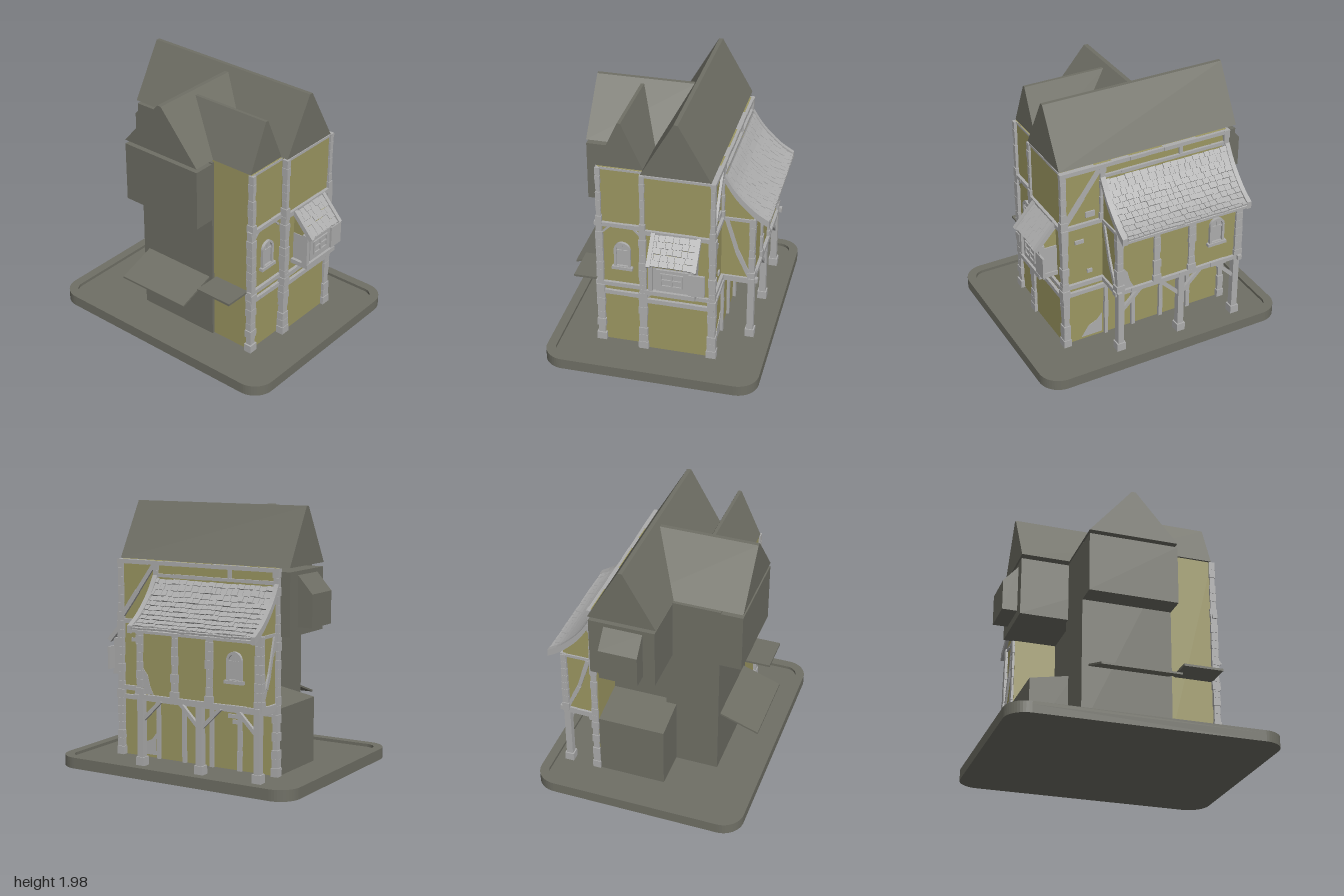
import * as THREE from 'three';
import { mergeGeometries } from 'three/addons/utils/BufferGeometryUtils.js';

export function createModel() {
  const model = new THREE.Group();
  model.name = 'timberHouse';
  const mat = (name, color) => {
    const m = new THREE.MeshStandardMaterial({ color });
    m.name = name;
    return m;
  };
  const slate = mat('slate', 0x6f6f65), plaster = mat('plaster', 0x9c9762), timber = mat('paleTimber', 0xadadad);

  let seed = 7;
  const rnd = (a, b) => {
    seed = (seed * 16807) % 2147483647;
    return a + (b - a) * (seed / 2147483647);
  };
  const V = (x, y, z) => new THREE.Vector3(x, y, z);
  const add = (name, material, ...geos) => {
    const flat = geos.flat().map(g => (g.index ? g.toNonIndexed() : g));
    const mesh = new THREE.Mesh(mergeGeometries(flat), material);
    mesh.name = name;
    model.add(mesh);
    return mesh;
  };
  const box = (x0, x1, y0, y1, z0, z1) =>
    new THREE.BoxGeometry(x1 - x0, y1 - y0, z1 - z0).translate((x0 + x1) / 2, (y0 + y1) / 2, (z0 + z1) / 2);
  const poly = pts => new THREE.Shape(pts.map(p => new THREE.Vector2(...p)));
  // Prism with an (x, y) profile running along z
  const prismZ = (pts, z0, z1) =>
    new THREE.ExtrudeGeometry(poly(pts), { depth: z1 - z0, bevelEnabled: false }).translate(0, 0, z0);
  // Prism with a (z, y) profile running along x
  const prismX = (pts, x0, x1) =>
    new THREE.ExtrudeGeometry(poly(pts.map(([z, y]) => [-z, y])), { depth: x1 - x0, bevelEnabled: false })
      .rotateY(Math.PI / 2).translate(x0, 0, 0);

  // One straight bar between two points
  const bar = (a, b, w, h) => {
    const o = new THREE.Object3D();
    o.position.copy(a).add(b).multiplyScalar(0.5);
    o.lookAt(b);
    o.updateMatrix();
    return new THREE.BoxGeometry(w, h, a.distanceTo(b)).applyMatrix4(o.matrix);
  };
  // Rough-hewn timber: a bar broken into uneven lengths
  const beam = (a, b, w = 0.035, h = 0.035) => {
    const n = Math.max(1, Math.round(a.distanceTo(b) / 0.14)), out = [];
    for (let i = 0; i < n; i++) {
      const p = a.clone().lerp(b, i / n), q = a.clone().lerp(b, (i + 1) / n);
      out.push(bar(p, q, w * rnd(0.88, 1.1), h * rnd(0.88, 1.1)));
    }
    return out;
  };
  // Corner post stacked from uneven blocks
  const post = (x, z, y0, y1, w = 0.05, d = 0.05) => {
    const out = [], n = Math.max(2, Math.round((y1 - y0) / 0.065));
    for (let i = 0; i < n; i++) {
      const h = (y1 - y0) / n, k = i ? rnd(0.85, 1.15) : 1.25;
      out.push(box(x - w * k / 2, x + w * k / 2, y0 + i * h, y0 + (i + 1) * h - 0.002, z - d * k / 2, z + d * k / 2));
    }
    return out;
  };

  // Base plate with a raised rim
  const rounded = (w, d, r, path = new THREE.Shape()) => {
    path.absarc(w - r, d - r, r, 0, Math.PI / 2);
    path.absarc(-w + r, d - r, r, Math.PI / 2, Math.PI);
    path.absarc(-w + r, -d + r, r, Math.PI, Math.PI * 1.5);
    path.absarc(w - r, -d + r, r, Math.PI * 1.5, Math.PI * 2);
    return path;
  };
  const plate = (shape, y0, y1) =>
    new THREE.ExtrudeGeometry(shape, { depth: y1 - y0, bevelEnabled: false, curveSegments: 6 })
      .rotateX(-Math.PI / 2).translate(0, y0, 0);
  const rim = rounded(0.81, 1, 0.16);
  rim.holes.push(rounded(0.74, 0.93, 0.09, new THREE.Path()));
  add('base', slate, plate(rounded(0.81, 1, 0.16), 0, 0.06), plate(rim, 0.06, 0.083));

  // Plain rear masses
  add('rearBody', slate, box(-0.10, 0.38, 0.06, 1.54, -0.36, 0.3), box(-0.46, -0.05, 0.06, 1.54, -0.4, 0.28));
  add('rearUpperStorey', slate, box(-0.10, 0.395, 1.07, 1.53, -0.77, 0.2));
  add('sideUpperStorey', slate, box(-0.625, -0.1, 1.07, 1.53, -0.4, 0.28));
  add('rearAnnex', slate, prismX([[-0.69, 0.06], [-0.69, 0.55], [-0.36, 0.61], [-0.36, 0.06]], -0.13, 0.38));
  add('rearBay', slate, prismX([[-0.885, 1.13], [-0.885, 1.37], [-0.77, 1.5], [-0.77, 1.13]], -0.01, 0.28));

  // Plastered walls
  add('mainWalls', plaster, box(-0.10, 0.41, 0.06, 1.555, 0.28, 0.67), box(0.38, 0.41, 0.06, 1.555, -0.68, 0.3));
  add('frontWingWalls', plaster, box(-0.44, -0.05, 0.06, 1.555, 0.27, 0.625));
  const roofLine = [[0.43, 1.42], [0.5, 1.31], [0.58, 1.22], [0.67, 1.14], [0.76, 1.085]];
  add('sideRoomWalls', plaster, prismZ([[0.4, 0.58], [0.645, 0.58], [0.645, 1.13], [0.56, 1.22], [0.49, 1.3], [0.42, 1.39], [0.4, 1.39]], -0.675, 0.35));

  // Main roofs with narrow flat ridges
  const gable = (c, half, top, k = 0.015) => [[c - half, 1.56], [c + half, 1.56], [c + k, top], [c - k, top]];
  add('mainRoof', slate, prismZ(gable(0.145, 0.255, 1.98), -0.77, 0.68));
  add('frontWingRoof', slate, prismZ(gable(-0.275, 0.172, 1.91, 0.012), -0.03, 0.62));
  add('sideWingRoof', slate, prismX(gable(-0.06, 0.34, 1.94, 0.016), -0.625, 0.115));

  // Awnings on the left
  add('slopedAwning', slate, prismZ([[-0.755, 0.445], [-0.45, 0.555], [-0.45, 0.57], [-0.755, 0.46]], -0.35, 0.25));
  add('flatAwning', slate, box(-0.655, -0.43, 0.563, 0.58, 0.3, 0.6));

  // Front framing
  add('frontPosts', timber, [[-0.435, 0.625], [-0.1, 0.665], [0.415, 0.665]].map(([x, z]) => [
    ...post(x, z, 0.06, 0.5, 0.06, 0.05), ...post(x, z, 0.5, 1.09, 0.05, 0.05), ...post(x, z, 1.09, 1.555, 0.035, 0.045)]).flat());
  add('frontBeams', timber, [0.5, 0.575, 1.09].map(y => [
    ...beam(V(-0.47, y, 0.63), V(-0.1, y, 0.63)), ...beam(V(-0.12, y, 0.675), V(0.43, y, 0.675))]).flat(),
    beam(V(-0.45, 1.545, 0.62), V(-0.1, 1.545, 0.62), 0.02, 0.02), beam(V(-0.1, 1.545, 0.67), V(0.42, 1.545, 0.67), 0.02, 0.02));
  add('frontBraces', plaster, prismZ([[-0.41, 1.075], [-0.41, 1.0], [-0.34, 1.075]], 0.625, 0.63));
  add('frontCornerBraces', timber, bar(V(-0.41, 1.02, 0.625), V(-0.35, 1.08, 0.625), 0.02, 0.015),
    bar(V(-0.13, 1.02, 0.625), V(-0.19, 1.08, 0.625), 0.02, 0.015));

  // Right wall framing
  add('rightUpperPosts', timber, post(0.41, 0.35, 1.09, 1.555, 0.04, 0.045), post(0.41, -0.675, 0.06, 1.555, 0.05, 0.045),
    beam(V(0.41, 1.45, -0.29), V(0.41, 1.54, -0.29), 0.03, 0.03));
  add('rightBeams', timber, beam(V(0.415, 1.54, 0.69), V(0.415, 1.54, -0.7), 0.035, 0.03),
    beam(V(0.415, 1.45, 0.35), V(0.415, 1.45, -0.69), 0.03, 0.025),
    beam(V(0.415, 1.09, 0.69), V(0.415, 1.09, 0.34)), beam(V(0.415, 0.58, 0.69), V(0.415, 0.58, 0.34)),
    beam(V(0.415, 0.51, 0.69), V(0.415, 0.51, -0.69)), beam(V(0.415, 1.12, 0.66), V(0.415, 1.52, 0.37), 0.03, 0.035));
  add('rightGroundPosts', timber, [0.33, 0.1, -0.14, -0.38].map(z => beam(V(0.415, 0.06, z), V(0.415, 0.51, z), 0.035, 0.03)).flat());

  // Side room framing
  add('sideRoomPosts', timber, [0.335, 0.03, -0.265, -0.67].map(z => post(0.64, z, 0.58, 1.1, 0.045, 0.055)).flat());
  add('sideRoomBeams', timber, beam(V(0.645, 0.58, 0.38), V(0.645, 0.58, -0.7), 0.045, 0.035),
    beam(V(0.645, 1.09, 0.36), V(0.645, 1.09, -0.69), 0.035, 0.03),
    [0.35, -0.675].map(z => [...beam(V(0.42, 0.58, z), V(0.69, 0.58, z)), ...beam(V(0.42, 1.09, z), V(0.66, 1.09, z), 0.025, 0.025),
      ...beam(V(0.45, 1.08, z), V(0.53, 0.82, z), 0.03, 0.03), ...beam(V(0.53, 0.82, z), V(0.62, 0.62, z), 0.03, 0.03)]).flat());
  const stiltZ = [0.33, -0.18, -0.66];
  add('stilts', timber, stiltZ.map(z => [box(0.615, 0.665, 0.06, 0.57, z - 0.025, z + 0.025),
    box(0.605, 0.675, 0.06, 0.125, z - 0.035, z + 0.035), ...beam(V(0.42, 0.555, z), V(0.64, 0.555, z))]).flat());
  add('stiltBraces', timber, [[0.33, -1], [-0.18, 1], [-0.18, -1], [-0.66, 1]].map(([z, s]) =>
    bar(V(0.64, 0.41, z + s * 0.02), V(0.64, 0.56, z + s * 0.17), 0.025, 0.028)));

  // Tiled lean-to roof following a sagging curve
  const tiledRoof = (name, place, rows, u0, u1, tileW, t) => {
    const out = [];
    for (let r = 0; r < rows; r++) {
      const a = place(r / rows), b = place((r + 1.15) / rows);
      for (let u = u0; u < u1 - 0.005;) {
        const e = Math.min(u1, u + tileW * rnd(0.7, 1.3)), lift = rnd(0, t * 0.5);
        const m = (u + e) / 2;
        out.push(bar(V(a[0], a[1] + lift, m), V(b[0], b[1] + t * 0.7 + lift, m), e - u - 0.003, t));
        u = e;
      }
    }
    return out;
  };
  const curve = new THREE.SplineCurve(roofLine.map(p => new THREE.Vector2(...p)));
  const onCurve = t => curve.getPoint(Math.min(1, t)).toArray();
  add('leanToTiles', timber, tiledRoof('tiles', onCurve, 11, -0.67, 0.34, 0.052, 0.014));
  const edge = curve.getPoints(10).map(p => [p.x, p.y]);
  const slab = (lo, hi) => [...edge.map(([x, y]) => [x, y + lo]), ...edge.map(([x, y]) => [x, y + hi]).reverse()];
  add('leanToDeck', timber, prismZ(slab(-0.018, 0.002), -0.675, 0.345));
  add('leanToVerges', timber, prismZ(slab(-0.025, 0.03), -0.7, -0.665), prismZ(slab(-0.025, 0.03), 0.33, 0.37));
  add('rafterEnds', plaster, Array.from({ length: 16 }, (_, i) => {
    const z = -0.62 + i * 0.061;
    return bar(V(0.64, 1.135, z), V(0.75, 1.075, z), 0.025, 0.018);
  }));

  // Front bay window with its own small tiled roof
  add('bayBody', timber, box(0.0, 0.31, 0.685, 0.9, 0.66, 0.79), box(-0.025, 0.32, 0.65, 0.685, 0.66, 0.82),
    [-0.01, 0.305].map(x => box(x - 0.015, x + 0.015, 0.66, 0.93, 0.77, 0.815)));
  add('bayGable', plaster, prismX([[0.66, 0.89], [0.66, 1.07], [0.69, 1.06], [0.81, 0.91], [0.81, 0.89]], 0.005, 0.3));
  const bayTiles = tiledRoof('tiles', t => [0.69 + 0.15 * t, 1.085 - 0.175 * t], 5, -0.31, 0.01, 0.06, 0.014);
  add('bayTiles', timber, bayTiles.map(g => g.rotateY(-Math.PI / 2).scale(1, 1, 1)).map(g => g.translate(0, 0, 0)))
    .geometry.applyMatrix4(new THREE.Matrix4().makeScale(1, 1, 1));
  add('bayVerges', timber, [-0.015, 0.32].map(x => bar(V(x, 1.095, 0.685), V(x, 0.91, 0.85), 0.03, 0.035)));
  add('baySash', timber, box(0.03, 0.27, 0.69, 0.87, 0.79, 0.805),
    [0.07, 0.147, 0.225].map(x => box(x - 0.006, x + 0.006, 0.74, 0.84, 0.805, 0.816)),
    [0.74, 0.79, 0.84].map(y => box(0.065, 0.23, y - 0.006, y + 0.006, 0.805, 0.816)));
  add('bayShutter', timber, box(0.27, 0.39, 0.695, 0.87, 0.805, 0.822));

  // Arched windows
  const arch = (w, y0, ys, path) => {
    path.moveTo(-w, y0);
    path.lineTo(w, y0);
    path.lineTo(w, ys);
    path.absarc(0, ys, w, 0, Math.PI);
    path.lineTo(-w, y0);
    return path;
  };
  const archedWindow = (name, x, y, z, turn) => {
    const frame = arch(0.062, 0, 0.155, new THREE.Shape());
    frame.holes.push(arch(0.043, 0.018, 0.155, new THREE.Path()));
    const ext = (s, d) => new THREE.ExtrudeGeometry(s, { depth: d, bevelEnabled: false, curveSegments: 8 });
    const w = add(name, timber, ext(frame, 0.025), ext(arch(0.045, 0.01, 0.155, new THREE.Shape()), 0.008),
      box(-0.078, 0.078, -0.012, 0.012, 0, 0.035), box(-0.05, 0.05, 0.135, 0.15, 0, 0.018), box(-0.005, 0.005, 0.15, 0.2, 0, 0.016));
    w.position.set(x, y, z);
    w.rotation.y = turn;
  };
  archedWindow('frontArchedWindow', -0.265, 0.73, 0.622, 0);
  archedWindow('sideArchedWindow', 0.643, 0.765, -0.475, Math.PI / 2);

  // Exposed bricks and bare patches
  const brick = (x, y, z, w = 0.07, h = 0.03) => box(x - 0.01, x + 0.012, y - h / 2, y + h / 2, z - w / 2, z + w / 2);
  add('exposedBricks', timber, brick(0.41, 1.165, 0.45, 0.075, 0.045), brick(0.41, 0.95, 0.54), brick(0.41, 0.675, 0.46, 0.04),
    brick(0.41, 0.46, -0.32, 0.08), brick(0.41, 0.42, -0.335, 0.04));
  add('barePatches', timber, prismX([[0.31, 0.6], [0.31, 0.79], [0.27, 0.74], [0.25, 0.66], [0.22, 0.6]], 0.643, 0.649),
    prismX([[0.36, 0.08], [0.36, 0.25], [0.4, 0.2], [0.47, 0.17], [0.53, 0.08]], 0.408, 0.414),
    prismZ([[-0.08, 0.51], [-0.02, 0.56], [-0.08, 0.56]], 0.668, 0.675));
  return model;
}
